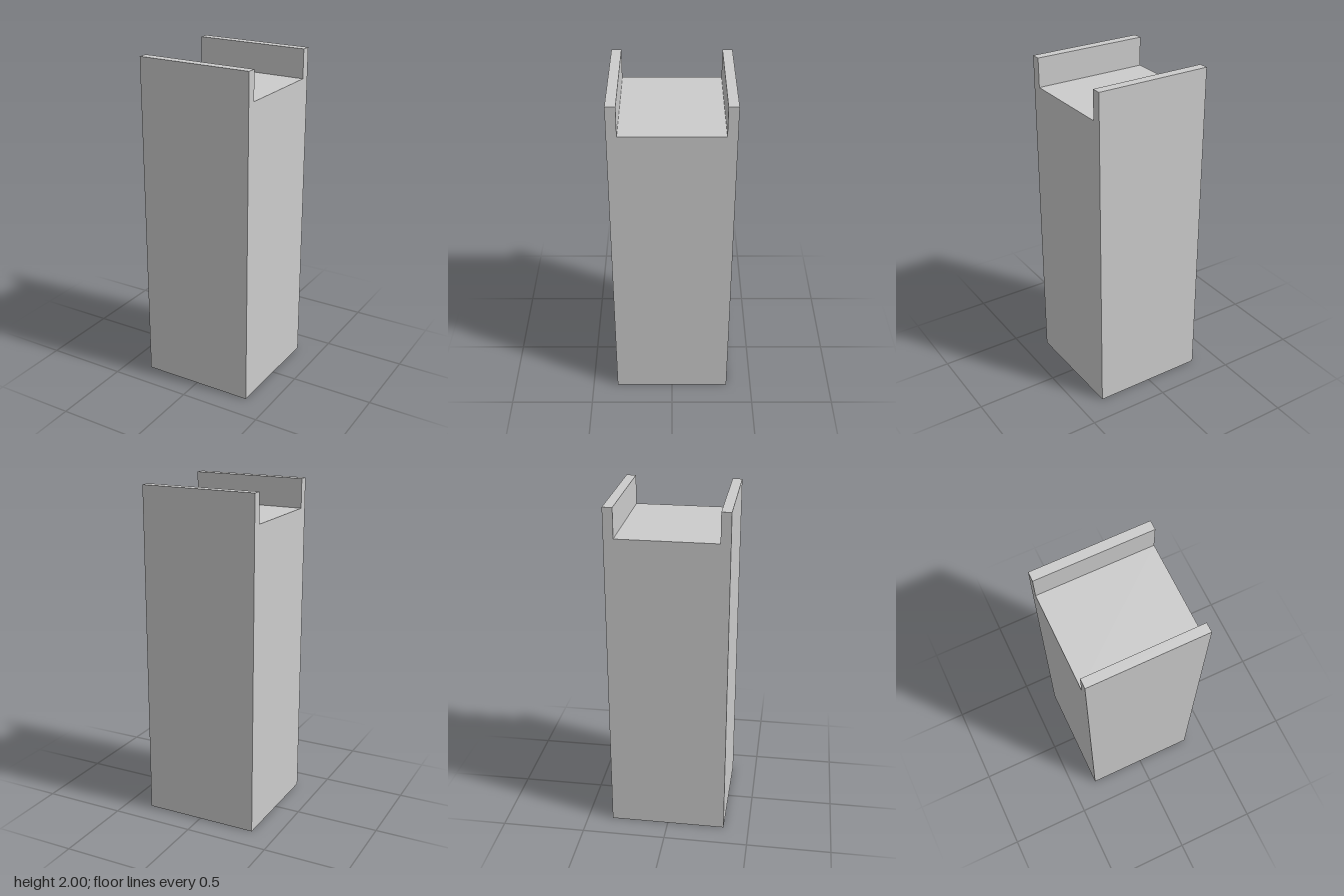
import * as THREE from 'three';

const HALF = 0.347;     // half of the square plan
const SLOT = 0.29;      // half width of the top channel
const HEIGHT = 2;
const FLOOR = 1.826;    // height of the channel floor

export function createModel() {
  const group = new THREE.Group();
  group.name = 'channelledPost';

  // End profile (z across, y up): a tall block with a channel cut in its top
  const profile = new THREE.Shape([
    [-HALF, 0], [HALF, 0], [HALF, HEIGHT], [SLOT, HEIGHT],
    [SLOT, FLOOR], [-SLOT, FLOOR], [-SLOT, HEIGHT], [-HALF, HEIGHT],
  ].map(([z, y]) => new THREE.Vector2(z, y)));

  // Sweep the profile from side to side so the channel runs along x
  const geometry = new THREE.ExtrudeGeometry(profile, { depth: 2 * HALF, bevelEnabled: false });
  geometry.translate(0, 0, -HALF);
  geometry.rotateY(-Math.PI / 2);

  const post = new THREE.Mesh(
    geometry,
    new THREE.MeshStandardMaterial({ color: 0xcccccc, flatShading: true }),
  );
  post.name = 'post';
  group.add(post);
  return group;
}
